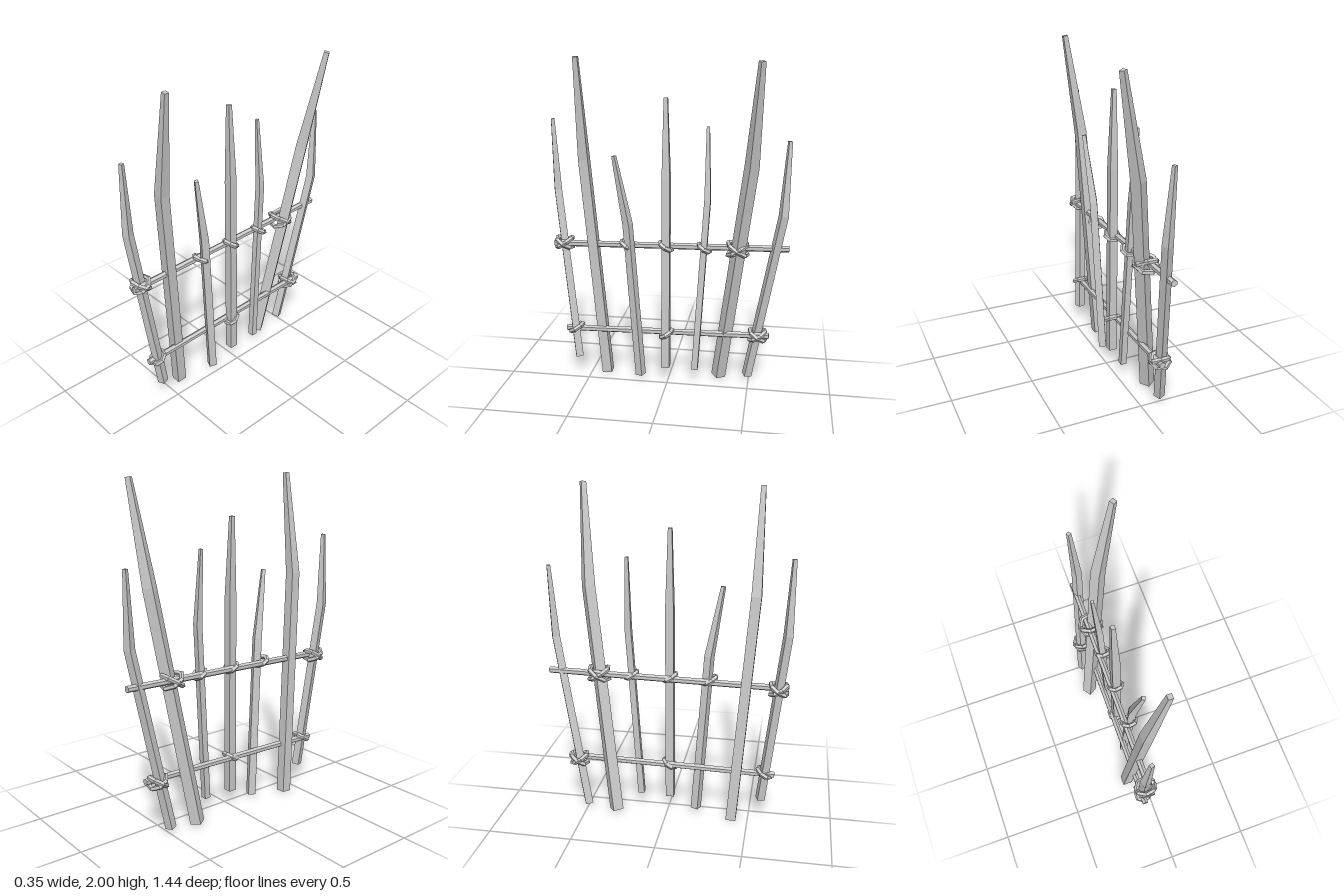
import * as THREE from 'three';

const material = new THREE.MeshStandardMaterial({ color: 0xcccccc, flatShading: true });
const UP = new THREE.Vector3(0, 1, 0);

// Square stake swept through base, knee and tip; size = side, turn = twist about its axis
function makeStake(points, size, turn) {
  const [base, knee, tip] = points.map((p) => new THREE.Vector3(...p));
  const low = knee.clone().sub(base).normalize();
  const high = tip.clone().sub(knee).normalize();
  const twist = new THREE.Quaternion().setFromAxisAngle(UP, turn);
  const rings = [[base, low, 1], [knee, low.clone().add(high).normalize(), 0.97], [tip, high, 0.46]]
    .map(([at, dir, scale]) => ({
      at, scale: scale * size,
      q: new THREE.Quaternion().setFromUnitVectors(UP, dir).multiply(twist),
    }));
  const box = new THREE.BoxGeometry(1, 1, 1, 1, 2, 1);
  const pos = box.attributes.position;
  const v = new THREE.Vector3();
  for (let i = 0; i < pos.count; i++) {
    const ring = rings[Math.round((pos.getY(i) + 0.5) * 2)];
    v.set(pos.getX(i), 0, pos.getZ(i)).multiplyScalar(ring.scale).applyQuaternion(ring.q).add(ring.at);
    pos.setXYZ(i, v.x, v.y, v.z);
  }
  const geometry = box.toNonIndexed();
  geometry.computeVertexNormals();
  return new THREE.Mesh(geometry, material);
}

// Thin hexagonal pole between two points
function makeRail(from, to) {
  const a = new THREE.Vector3(...from), b = new THREE.Vector3(...to);
  const rail = new THREE.Mesh(new THREE.CylinderGeometry(0.02, 0.02, a.distanceTo(b), 6), material);
  rail.position.copy(a).add(b).multiplyScalar(0.5);
  rail.quaternion.setFromUnitVectors(UP, b.sub(a).normalize());
  return rail;
}

// Rope loops tied diagonally around a crossing, one per lean angle
function makeLashing(at, radius, leans) {
  const lashing = new THREE.Group();
  leans.forEach((lean, i) => {
    const loop = new THREE.Mesh(new THREE.TorusGeometry(radius, 0.015, 5, 7), material);
    loop.name = 'ropeLoop';
    loop.rotation.set(lean, 0, 0);
    loop.rotateZ(i * 0.4);
    lashing.add(loop);
  });
  lashing.position.set(...at);
  return lashing;
}

export function createModel() {
  const fence = new THREE.Group();
  fence.name = 'stakeFence';
  const add = (mesh, name) => { mesh.name = name; fence.add(mesh); };

  // Stakes, front to back: base, knee, tip, side, twist
  [
    [[[-0.05, 0.13, 0.57], [-0.115, 1.2, 0.69], [-0.1, 1.63, 0.703]], 0.045, 0.35],
    [[[-0.11, 0.01, 0.4], [-0.045, 1.4, 0.503], [0.043, 2.0, 0.513]], 0.06, 0],
    [[[-0.05, 0.03, 0.175], [-0.02, 1.02, 0.24], [0.01, 1.435, 0.31]], 0.046, -0.4],
    [[[-0.042, 0.1, 0.013], [-0.045, 1.3, 0.01], [-0.053, 1.77, 0.013]], 0.05, 0],
    [[[-0.035, 0.1, -0.17], [-0.055, 1.18, -0.235], [-0.083, 1.605, -0.23]], 0.038, 0],
    [[[-0.135, 0.02, -0.31], [0.035, 1.4, -0.492], [0.148, 1.99, -0.536]], 0.064, 0.6],
    [[[-0.125, 0.04, -0.49], [-0.045, 1.1, -0.68], [-0.06, 1.535, -0.7]], 0.046, 0.4],
  ].forEach(([points, size, turn], i) => add(makeStake(points, size, turn), `stake${i + 1}`));

  // Cross rails
  add(makeRail([-0.07, 0.868, 0.71], [-0.07, 0.895, -0.72]), 'upperRail');
  add(makeRail([-0.07, 0.31, 0.65], [-0.07, 0.335, -0.62]), 'lowerRail');

  // Lashings: position, loop radius, lean of each loop
  const A = 1.02, B = -1.02;
  [
    [[-0.09, 0.868, 0.652], 0.056, [A, B]],
    [[-0.045, 0.882, 0.25], 0.042, [A]],
    [[-0.045, 0.885, 0.012], 0.042, [A]],
    [[-0.045, 0.885, -0.22], 0.04, [A]],
    [[-0.055, 0.885, -0.418], 0.068, [A, B]],
    [[-0.065, 0.317, 0.588], 0.045, [B]],
    [[-0.045, 0.32, 0.01], 0.042, [B]],
    [[-0.09, 0.328, -0.55], 0.056, [A, B]],
  ].forEach(([at, radius, leans], i) => add(makeLashing(at, radius, leans), `lashing${i + 1}`));

  return fence;
}
